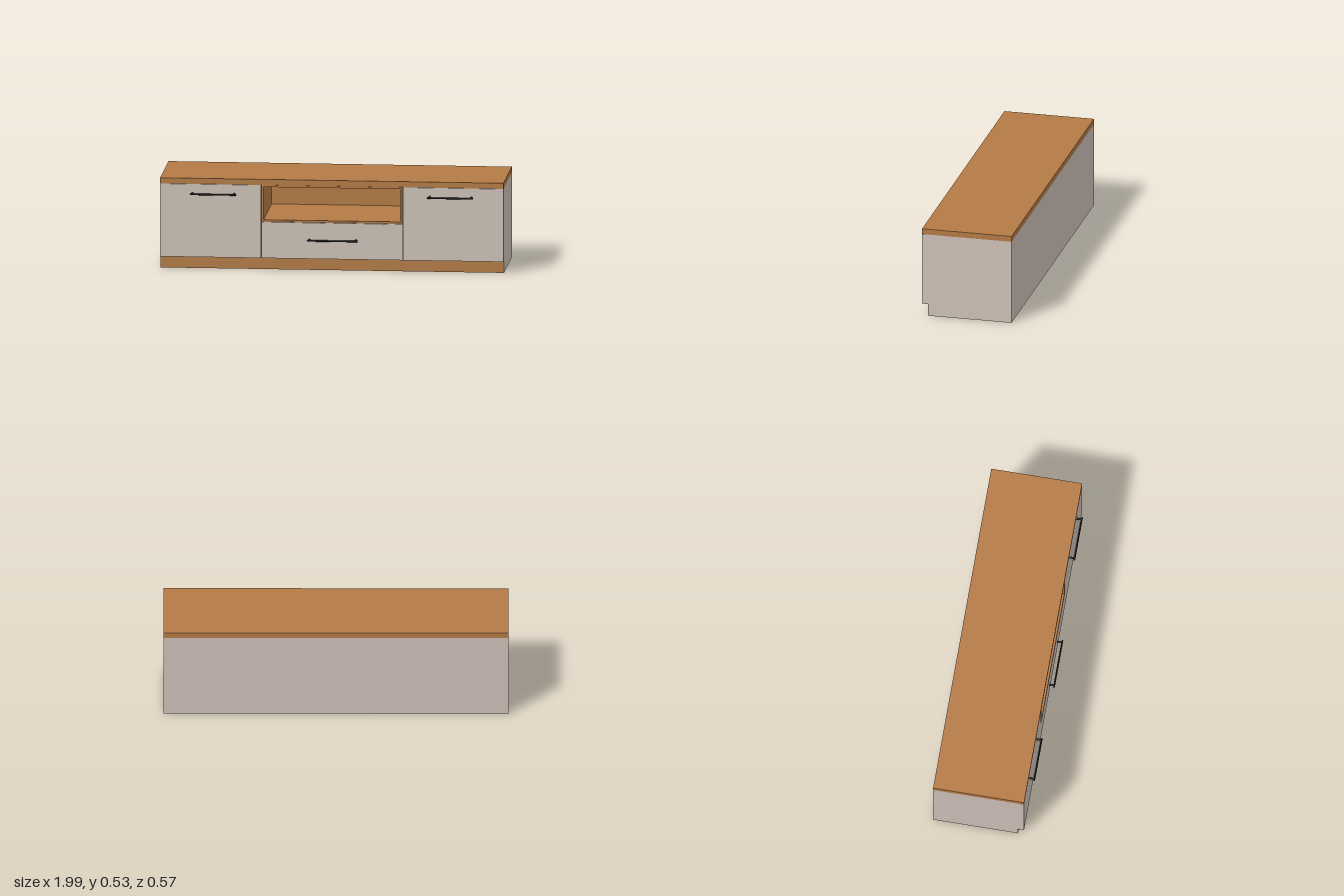
import * as THREE from 'three';

export function createModel() {
  const model = new THREE.Group();
  const wood = new THREE.MeshStandardMaterial({ color: 0xb47b46 });
  const pale = new THREE.MeshStandardMaterial({ color: 0xcdc1b8 });
  const black = new THREE.MeshStandardMaterial({ color: 0x1c1c1c });
  wood.name = 'wood';
  pale.name = 'paleLacquer';
  black.name = 'blackMetal';

  // Box given by its limits on each axis
  function slab(name, material, [x0, x1], [y0, y1], [z0, z1], parent = model) {
    const mesh = new THREE.Mesh(new THREE.BoxGeometry(x1 - x0, y1 - y0, z1 - z0), material);
    mesh.position.set((x0 + x1) / 2, (y0 + y1) / 2, (z0 + z1) / 2);
    mesh.name = name;
    parent.add(mesh);
    return mesh;
  }

  const W = 0.996, BACK = -0.283, FRONT = 0.25, TOE = 0.214;

  // Top board, toe kick, base and back
  slab('topBoard', wood, [-W, W], [0.5, 0.533], [BACK, FRONT]);
  slab('plinth', wood, [-W, W], [0, 0.071], [TOE - 0.003, TOE]);
  slab('baseBoard', wood, [-W + 0.018, W - 0.018], [0.003, 0.071], [BACK + 0.012, TOE - 0.003]);
  slab('backPanel', pale, [-W + 0.018, W - 0.018], [0, 0.5], [BACK, BACK + 0.012]);

  // Side panels notched over the toe kick
  const profile = new THREE.Shape([
    [BACK, 0], [TOE - 0.003, 0], [TOE - 0.003, 0.071],
    [0.233, 0.071], [0.233, 0.5], [BACK, 0.5],
  ].map(([z, y]) => new THREE.Vector2(-z, y)));
  for (const s of [-1, 1]) {
    const side = new THREE.Mesh(
      new THREE.ExtrudeGeometry(profile, { depth: 0.018, bevelEnabled: false }), pale);
    side.rotation.y = Math.PI / 2;
    side.position.x = s > 0 ? W - 0.018 : -W;
    side.name = s > 0 ? 'leftSide' : 'rightSide';
    model.add(side);
  }

  // Open niche lined with wood
  const niche = new THREE.Group();
  niche.name = 'niche';
  model.add(niche);
  const nz = [BACK + 0.022, FRONT - 0.001];
  slab('nicheFloor', wood, [-0.408, 0.408], [0.284, 0.296], nz, niche);
  slab('nicheCeiling', wood, [-0.408, 0.408], [0.488, 0.4995], nz, niche);
  slab('nicheBack', wood, [-0.408, 0.408], [0.284, 0.4995], [BACK + 0.012, BACK + 0.022], niche);
  for (const s of [-1, 1]) {
    slab('nicheWall', wood, [s * 0.402 - 0.006, s * 0.402 + 0.006], [0.296, 0.488], nz, niche);
    slab('divider', pale, [s * 0.415 - 0.006, s * 0.415 + 0.006], [0.071, 0.4995], [BACK + 0.012, 0.233]);
  }

  // Doors and drawer front
  const fz = [0.2335, FRONT];
  slab('rightDoor', pale, [-W, -0.411], [0.071, 0.4985], fz);
  slab('leftDoor', pale, [0.411, W], [0.071, 0.4985], fz);
  slab('drawerFront', pale, [-0.409, 0.409], [0.071, 0.282], fz);

  // Bar handles on two posts
  function handle(name, x, y, half) {
    const group = new THREE.Group();
    group.name = name;
    group.position.set(x, y, 0);
    const bar = new THREE.Mesh(new THREE.CylinderGeometry(0.005, 0.005, half * 2, 12), black);
    bar.rotation.z = Math.PI / 2;
    bar.position.z = 0.279;
    bar.name = 'bar';
    group.add(bar);
    for (const s of [-1, 1]) {
      const post = new THREE.Mesh(new THREE.CylinderGeometry(0.005, 0.007, 0.03, 12), black);
      post.rotation.x = Math.PI / 2;
      post.position.set(s * (half - 0.012), 0, 0.265);
      post.name = 'post';
      group.add(post);
    }
    model.add(group);
  }
  handle('rightDoorHandle', -0.688, 0.444, 0.133);
  handle('leftDoorHandle', 0.688, 0.444, 0.133);
  handle('drawerHandle', 0.004, 0.182, 0.146);

  return model;
}
